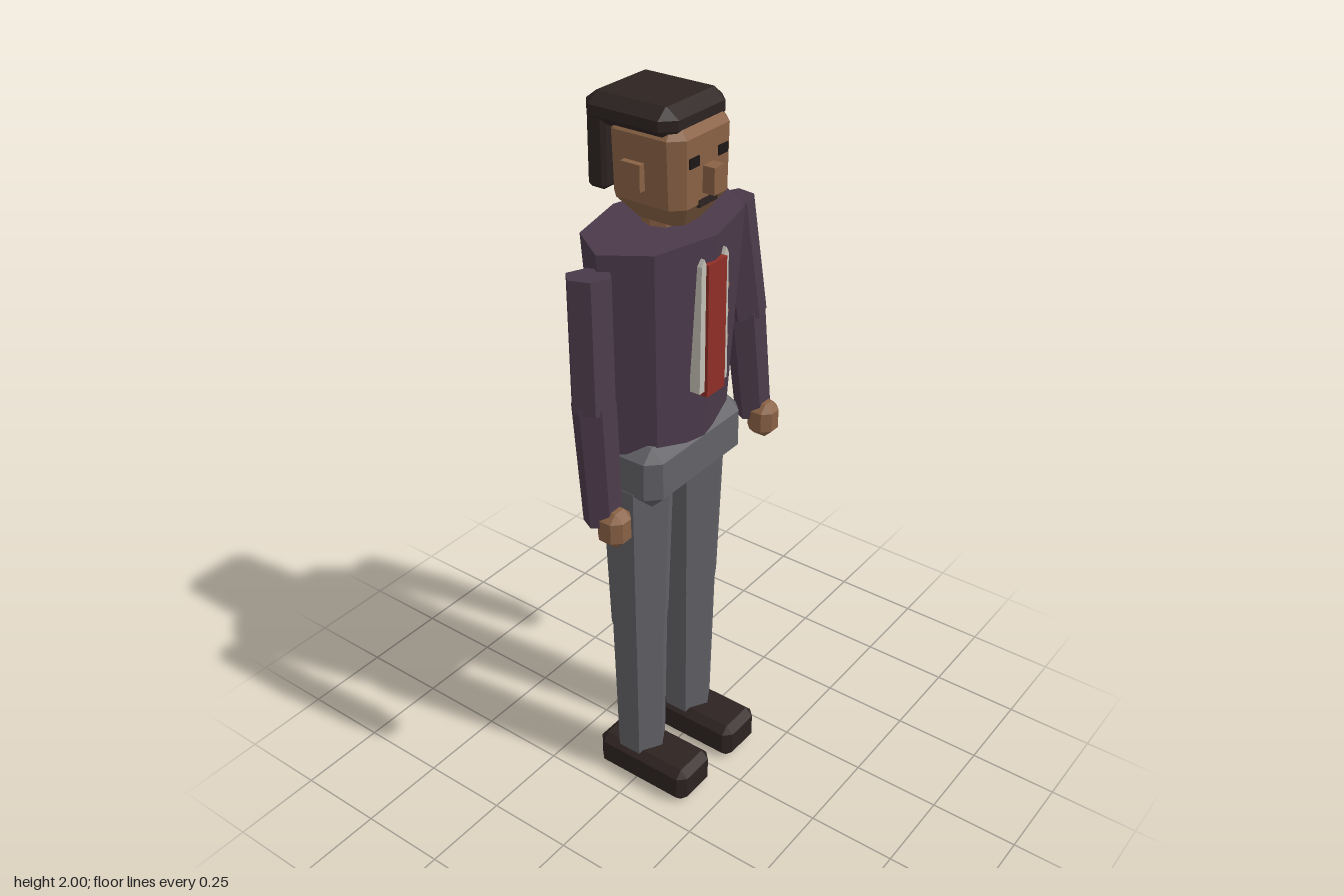
import * as THREE from 'three';

const mat = (name, color) => {
  const m = new THREE.MeshStandardMaterial({ color, flatShading: true });
  m.name = name;
  return m;
};

export function createModel() {
  const root = new THREE.Group();
  root.name = 'standingMan';

  const jacket = mat('plumJacket', 0x4b3a4a);
  const trousers = mat('greyTrousers', 0x626267);
  const skin = mat('skin', 0x8a6245);
  const dark = mat('darkHairAndShoes', 0x2d2321);
  const eyeMat = mat('eyeBlack', 0x1c1818);
  const red = mat('tieRed', 0x8f2e27);
  const white = mat('shirtWhite', 0xc2beb4);

  const add = (name, geometry, material, x = 0, y = 0, z = 0) => {
    const mesh = new THREE.Mesh(geometry, material);
    mesh.name = name;
    mesh.position.set(x, y, z);
    root.add(mesh);
    return mesh;
  };

  // Stacks chamfered rectangles: [y, half width, half depth, centre z, chamfer]
  const loft = (sections) => {
    const rings = sections.map(([y, w, d, cz, c]) => [
      [w - c, d], [w, d - c], [w, c - d], [w - c, -d],
      [c - w, -d], [-w, c - d], [-w, d - c], [c - w, d],
    ].map(([x, z]) => [x, y, z + cz]));
    const out = [];
    const tri = (...p) => p.forEach((q) => out.push(...q));
    for (let i = 0; i < rings.length - 1; i++) {
      for (let j = 0; j < 8; j++) {
        const k = (j + 1) % 8, lo = rings[i], hi = rings[i + 1];
        tri(lo[j], lo[k], hi[k]);
        tri(lo[j], hi[k], hi[j]);
      }
    }
    const bottom = rings[0], top = rings[rings.length - 1];
    for (let j = 1; j < 7; j++) {
      tri(bottom[0], bottom[j + 1], bottom[j]);
      tri(top[0], top[j], top[j + 1]);
    }
    const g = new THREE.BufferGeometry();
    g.setAttribute('position', new THREE.Float32BufferAttribute(out, 3));
    g.computeVertexNormals();
    return g;
  };

  // Box with all edges chamfered
  const bevelBox = (w, h, d, b) => {
    const x = w / 2, y = h / 2, z = d / 2;
    return loft([
      [-y, x - b, z - b, 0, 0.001],
      [-y + b, x, z, 0, b],
      [y - b, x, z, 0, b],
      [y, x - b, z - b, 0, 0.001],
    ]);
  };
  const box = (w, h, d) => new THREE.BoxGeometry(w, h, d);

  // Six-sided tapered limb between two points
  const limb = (name, from, to, rFrom, rTo, material, yaw = 0) => {
    const a = new THREE.Vector3(...from), b = new THREE.Vector3(...to);
    const g = new THREE.CylinderGeometry(rFrom, rTo, a.distanceTo(b), 6);
    g.rotateY(yaw);
    const mid = a.clone().add(b).multiplyScalar(0.5);
    const mesh = add(name, g, material, mid.x, mid.y, mid.z);
    mesh.quaternion.setFromUnitVectors(new THREE.Vector3(0, 1, 0), a.sub(b).normalize());
  };

  // Torso and hips
  const torso = new THREE.CylinderGeometry(0.258, 0.21, 0.558, 8);
  torso.scale(1, 1, 0.603);
  add('torso', torso, jacket, 0, 1.406, -0.022);
  add('hips', bevelBox(0.4, 0.175, 0.24, 0.035), trousers, 0, 1.067, -0.022);

  // Shirt front, tie and buttons
  for (const s of [-1, 1]) {
    const strip = new THREE.Shape([
      new THREE.Vector2(s * 0.03, 1.28), new THREE.Vector2(s * 0.058, 1.28),
      new THREE.Vector2(s * 0.055, 1.62), new THREE.Vector2(s * 0.045, 1.638),
      new THREE.Vector2(s * 0.03, 1.61),
    ]);
    const g = new THREE.ExtrudeGeometry(strip, { depth: 0.03, bevelEnabled: false });
    add(s > 0 ? 'leftShirtStrip' : 'rightShirtStrip', g, white, 0, 0, 0.1);
  }
  add('tie', box(0.074, 0.355, 0.022), red, 0, 1.443, 0.127);
  for (const y of [1.39, 1.46, 1.53]) {
    add('button', new THREE.IcosahedronGeometry(0.008, 0), skin, 0.064, y, 0.12);
  }

  // Arms, legs and shoes
  for (const s of [-1, 1]) {
    const side = s > 0 ? 'left' : 'right';
    limb(side + 'UpperArm', [s * 0.285, 1.645, -0.022], [s * 0.317, 1.32, 0.008],
      0.058, 0.058, jacket, -s * 0.25);
    limb(side + 'Forearm', [s * 0.315, 1.335, 0.007], [s * 0.328, 1.018, 0.036],
      0.055, 0.049, jacket, Math.PI / 6);
    add(side + 'Hand', bevelBox(0.076, 0.1, 0.08, 0.022), skin, s * 0.327, 1.014, 0.07);
    limb(side + 'Thigh', [s * 0.115, 1.02, -0.021], [s * 0.114, 0.56, -0.021],
      0.1, 0.084, trousers);
    limb(side + 'Shin', [s * 0.114, 0.575, -0.021], [s * 0.112, 0.09, -0.021],
      0.081, 0.071, trousers);
    add(side + 'Shoe', bevelBox(0.145, 0.112, 0.308, 0.022), dark, s * 0.113, 0.056, 0.024);
  }

  // Neck and head with tapered jaw
  add('neck', new THREE.CylinderGeometry(0.05, 0.055, 0.1, 8), skin, 0, 1.69, -0.025);
  add('head', loft([
    [1.7, 0.05, 0.068, -0.008, 0.02],
    [1.765, 0.11, 0.106, -0.002, 0.03],
    [1.93, 0.116, 0.109, -0.004, 0.033],
    [1.965, 0.085, 0.08, -0.004, 0.01],
  ]), skin);

  // Face details
  add('nose', box(0.04, 0.066, 0.045), skin, 0, 1.822, 0.115);
  add('mouth', box(0.072, 0.018, 0.009), dark, 0, 1.766, 0.103);
  for (const s of [-1, 1]) {
    add(s > 0 ? 'leftEye' : 'rightEye', box(0.036, 0.024, 0.009), eyeMat, s * 0.056, 1.873, 0.104);
    add(s > 0 ? 'leftEar' : 'rightEar', box(0.025, 0.066, 0.056), skin, s * 0.118, 1.833, -0.02);
  }

  // Hair cap and back of hair
  add('hairTop', loft([
    [1.93, 0.105, 0.113, -0.045, 0.01],
    [1.95, 0.123, 0.133, -0.045, 0.034],
    [1.975, 0.123, 0.133, -0.045, 0.034],
    [2.0, 0.092, 0.1, -0.045, 0.002],
  ]), dark);
  add('hairBack', bevelBox(0.236, 0.19, 0.056, 0.01), dark, 0, 1.868, -0.133);

  return root;
}
